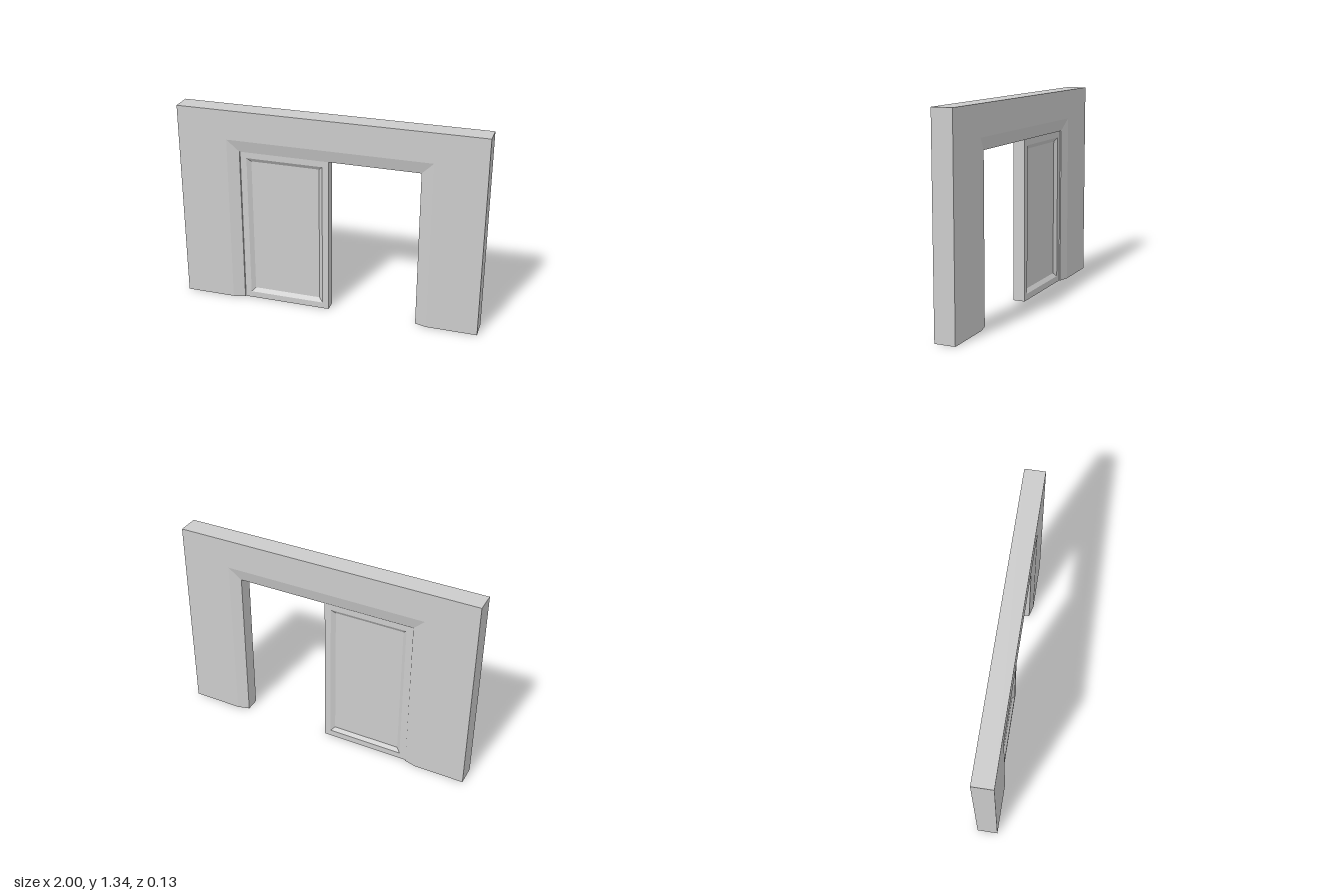
import * as THREE from 'three';

const material = new THREE.MeshStandardMaterial({ color: 0xcccccc, flatShading: true, side: THREE.DoubleSide });

// Flat-faced loft through equal closed loops of points, capped at both ends.
// Loops run counter-clockwise as seen from outside the first cap.
function loft(name, loops) {
  const positions = [];
  const tri = (...pts) => pts.forEach((p) => positions.push(...p));
  const n = loops[0].length;
  for (let i = 0; i < loops.length - 1; i++) {
    for (let j = 0; j < n; j++) {
      const k = (j + 1) % n;
      const a = loops[i][j], b = loops[i][k], c = loops[i + 1][k], d = loops[i + 1][j];
      tri(a, d, c);
      tri(a, c, b);
    }
  }
  const first = loops[0], last = loops[loops.length - 1];
  for (let j = 1; j < n - 1; j++) {
    tri(first[0], first[j], first[j + 1]);
    tri(last[0], last[j + 1], last[j]);
  }
  const geometry = new THREE.BufferGeometry();
  geometry.setAttribute('position', new THREE.Float32BufferAttribute(positions, 3));
  geometry.computeVertexNormals();
  const mesh = new THREE.Mesh(geometry, material);
  mesh.name = name;
  return mesh;
}

export function createModel() {
  const group = new THREE.Group();
  group.name = 'doorway';

  // Wall: a bevelled section carried up one jamb, over the lintel and down the other
  const wallZ = 0.067, jambZ = 0.047;
  const section = [ // half width, height, z
    [1, 1.335, wallZ], [1, 1.335, -wallZ],
    [0.67, 1.14, -wallZ], [0.592, 1.06, -jambZ],
    [0.592, 1.06, jambZ], [0.67, 1.14, wallZ],
  ];
  const stations = [[-1, 0], [-1, 1], [1, 1], [1, 0]];
  group.add(loft('wallFrame', stations.map(([sx, sy]) =>
    section.map(([w, h, z]) => [sx * w, sy * h, z]))));

  // Sliding door: slab with a bevelled sunken panel on both faces
  const x0 = -0.59, x1 = 0, y0 = 0, y1 = 1.06;
  const doorZ = 0.04, border = 0.042, bevel = 0.026, depth = 0.018;
  const ring = (inset, z) => [
    [x0 + inset, y0 + inset, z], [x1 - inset, y0 + inset, z],
    [x1 - inset, y1 - inset, z], [x0 + inset, y1 - inset, z],
  ];
  group.add(loft('slidingDoor', [
    ring(border + bevel, doorZ - depth),
    ring(border, doorZ),
    ring(0, doorZ),
    ring(0, -doorZ),
    ring(border, -doorZ),
    ring(border + bevel, depth - doorZ),
  ]));

  return group;
}
